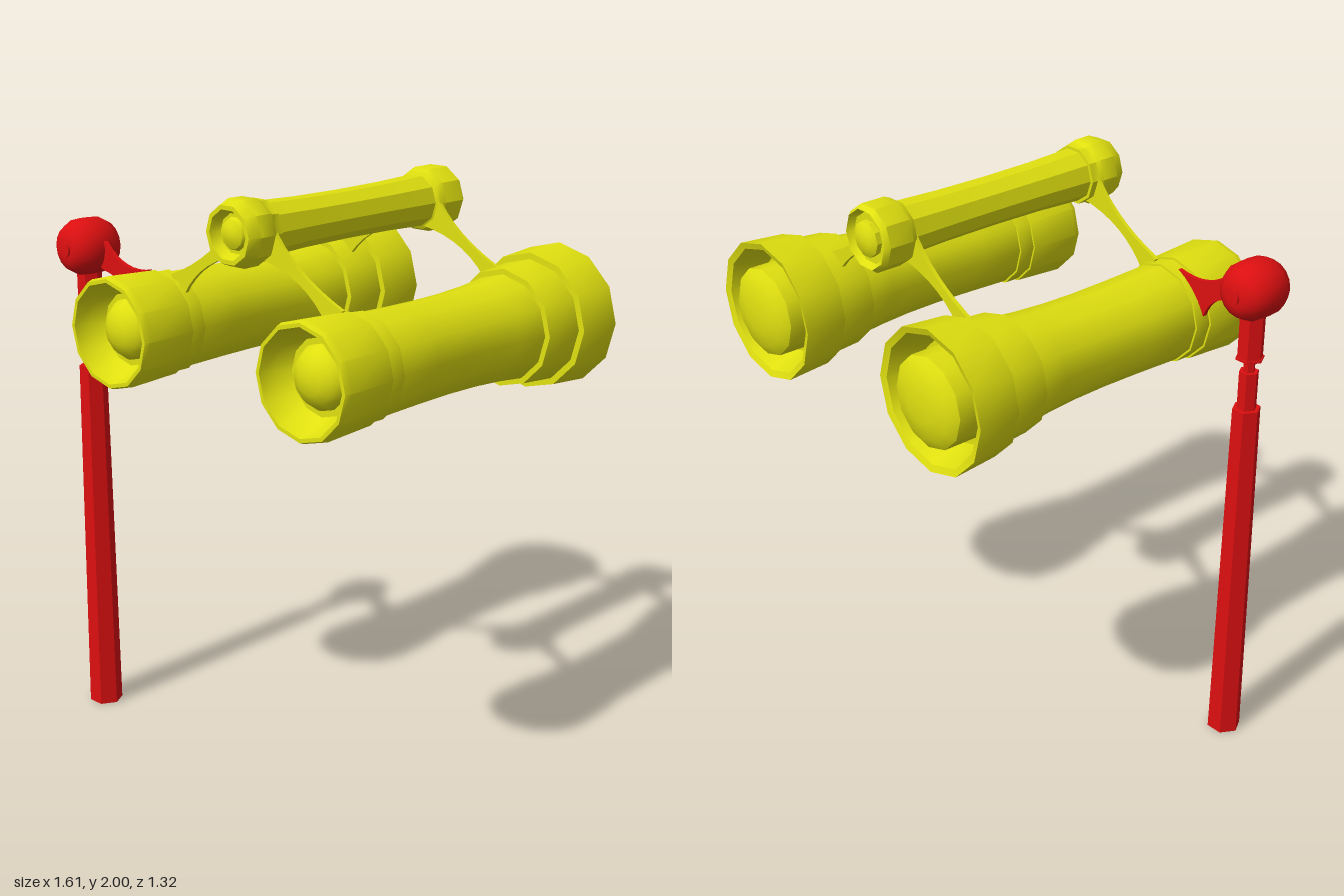
import * as THREE from 'three';
import { toCreasedNormals } from 'three/addons/utils/BufferGeometryUtils.js';

const yellow = new THREE.MeshStandardMaterial({ color: 0xe0e010 });
const red = new THREE.MeshStandardMaterial({ color: 0xdc0f10 });

function part(name, geometry, material, x = 0, y = 0, z = 0) {
  const mesh = new THREE.Mesh(toCreasedNormals(geometry, 0.62), material);
  mesh.name = name;
  mesh.position.set(x, y, z);
  return mesh;
}

// Lathe of [radius, z] points turned to lie along z, running from back to front
function turned(points, sides) {
  return new THREE.LatheGeometry(points.map(([r, z]) => new THREE.Vector2(r, z)), sides)
    .rotateY(Math.PI / 2)
    .rotateX(Math.PI / 2);
}

// Thin plate cut from a closed shape, centred on its own z
function plate(shape, thickness = 0.014) {
  return new THREE.ExtrudeGeometry(shape, { depth: thickness, bevelEnabled: false, curveSegments: 8 })
    .translate(0, 0, -thickness / 2);
}

const BARREL_Y = 1.525;
const BARREL_X = 0.44; // distance from the central tube
const TUBE_X = 0.118;
const TUBE_Y = 1.893;

// Objective lens, stepped rear hood, waisted body, eyepiece funnel and eye lens
const barrelProfile = [
  [0, -0.66], [0.06, -0.658], [0.12, -0.645], [0.155, -0.622], [0.155, -0.5],
  [0.18, -0.5], [0.222, -0.61], [0.245, -0.618], [0.233, -0.455],
  [0.211, -0.455], [0.2, -0.31], [0.181, -0.31],
  [0.17, -0.2], [0.163, -0.08], [0.161, 0.05], [0.163, 0.2], [0.168, 0.38],
  [0.175, 0.38], [0.175, 0.44], [0.182, 0.44], [0.192, 0.635], [0.185, 0.656],
  [0.172, 0.656], [0.155, 0.6], [0.125, 0.56], [0.105, 0.56],
  [0.1, 0.575], [0.08, 0.6], [0.045, 0.618], [0, 0.624],
];

// Focusing tube with a collar and a shallow dish at each end
const tubeProfile = [
  [0, -0.525], [0.035, -0.522], [0.06, -0.508], [0.06, -0.49], [0.085, -0.49],
  [0.1, -0.512], [0.113, -0.495], [0.113, -0.405], [0.103, -0.382],
  [0.09, -0.375], [0.084, -0.2], [0.082, 0], [0.084, 0.2], [0.091, 0.38],
  [0.102, 0.38], [0.103, 0.41], [0.112, 0.425], [0.113, 0.485], [0.097, 0.525],
  [0.082, 0.525], [0.066, 0.49], [0.055, 0.49], [0.048, 0.505], [0.025, 0.516], [0, 0.52],
];

// Arched bridge: both arms in one outline, narrow in the middle of each arm
function bridgeShape() {
  const s = new THREE.Shape();
  s.moveTo(-0.08, 1.93);
  s.quadraticCurveTo(-0.165, 1.785, -0.39, 1.695);
  s.lineTo(-0.33, 1.63);
  s.quadraticCurveTo(-0.24, 1.78, -0.02, 1.81);
  s.lineTo(0.02, 1.81);
  s.quadraticCurveTo(0.24, 1.78, 0.33, 1.63);
  s.lineTo(0.39, 1.695);
  s.quadraticCurveTo(0.165, 1.785, 0.08, 1.93);
  s.closePath();
  return s;
}

// Flared arm from the handle joint to the barrel
function armShape() {
  const s = new THREE.Shape();
  s.moveTo(-0.66, 1.78);
  s.lineTo(-0.61, 1.76);
  s.quadraticCurveTo(-0.52, 1.66, -0.38, 1.695);
  s.quadraticCurveTo(-0.46, 1.65, -0.5, 1.565);
  s.quadraticCurveTo(-0.53, 1.65, -0.62, 1.66);
  s.lineTo(-0.66, 1.68);
  s.closePath();
  return s;
}

export function createModel() {
  const model = new THREE.Group();
  model.name = 'operaGlasses';

  for (const side of [-1, 1]) {
    const name = side > 0 ? 'leftBarrel' : 'rightBarrel';
    model.add(part(name, turned(barrelProfile, 12), yellow, TUBE_X + side * BARREL_X, BARREL_Y));
  }
  model.add(part('focusTube', turned(tubeProfile, 10), yellow, TUBE_X, TUBE_Y));
  model.add(part('frontBridge', plate(bridgeShape()), yellow, TUBE_X, 0, 0.41));
  model.add(part('backBridge', plate(bridgeShape()), yellow, TUBE_X, 0, -0.385));

  // Handle with its ball joint
  const handle = new THREE.Group();
  handle.name = 'handle';
  handle.position.set(-0.708, 0, 0.41);
  const ballProfile = [
    [0, -0.11], [0.027, -0.11], [0.027, -0.103], [0.05, -0.1], [0.078, -0.08], [0.097, -0.045],
    [0.1, 0], [0.097, 0.045], [0.078, 0.08], [0.05, 0.1], [0.027, 0.103], [0.027, 0.11], [0, 0.11],
  ];
  handle.add(part('jointBall', turned(ballProfile, 16), red, 0, 1.733));

  // Hexagonal stem sections: name, top radius, bottom radius, bottom y, top y
  const sections = [
    ['grip', 0.049, 0.06, 0, 1.305],
    ['collar', 0.034, 0.034, 1.3, 1.44],
    ['neck', 0.02, 0.02, 1.43, 1.5],
    ['socketRim', 0.049, 0.049, 1.485, 1.493],
    ['socket', 0.044, 0.044, 1.49, 1.67],
  ];
  for (const [name, top, bottom, y0, y1] of sections) {
    const g = new THREE.CylinderGeometry(top, bottom, y1 - y0, 6).rotateY(Math.PI / 6);
    handle.add(part(name, g, red, 0, (y0 + y1) / 2));
  }
  model.add(handle);
  model.add(part('handleArm', plate(armShape(), 0.016), red, 0, 0, 0.41));

  return model;
}
